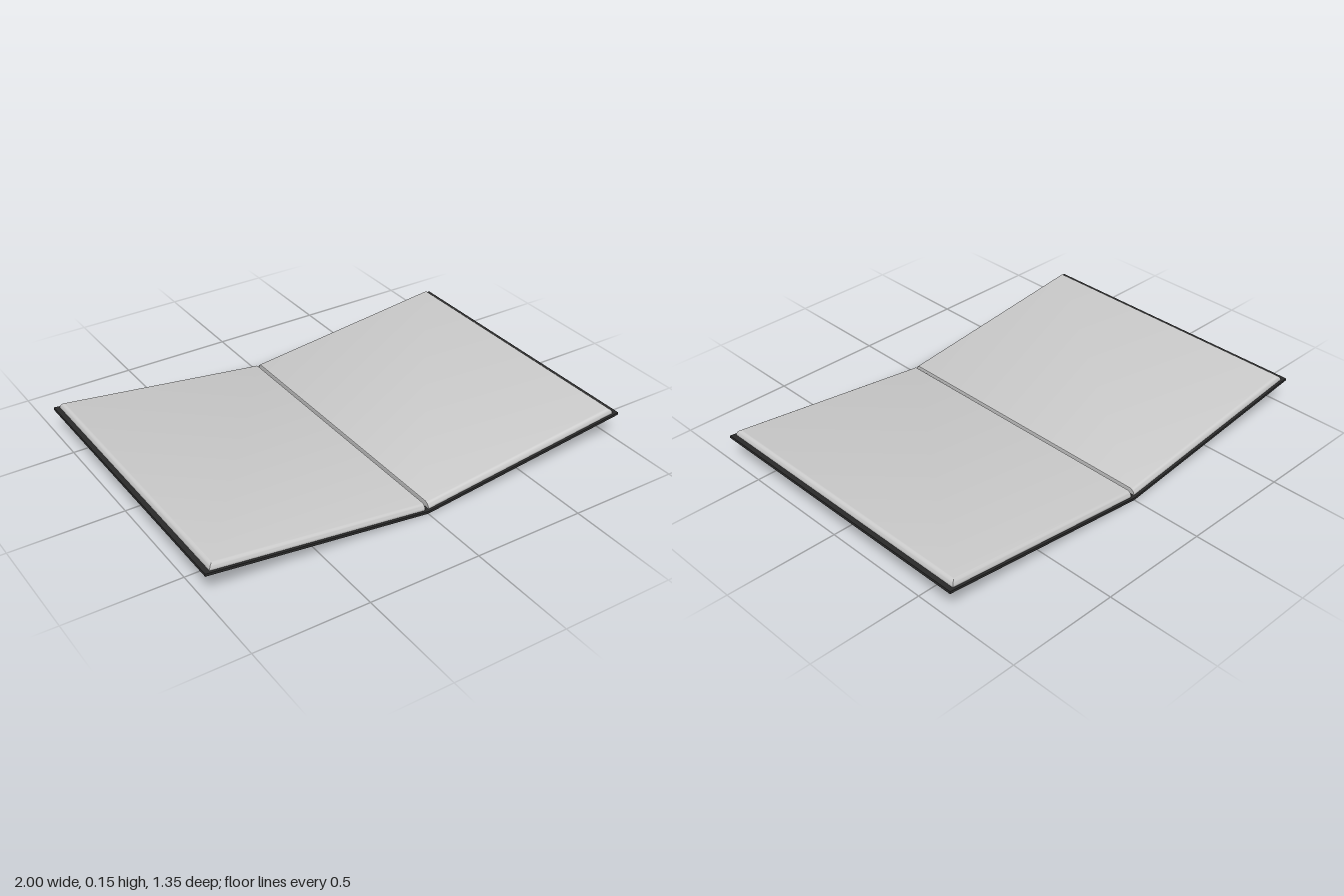
import * as THREE from 'three';
import { toCreasedNormals } from 'three/addons/utils/BufferGeometryUtils.js';

const RISE = 0.122;          // height of the cover's outer edge over the spine
const TILT = Math.atan(RISE);
const COVER = 0.011;         // cover thickness
const DEPTH = 1.354;

// Page block: stacked rectangles whose outer edges round over towards the top
function pageBlockGeometry() {
  const x0 = 0.011, x1 = 0.984, halfZ = 0.665, base = COVER - 0.001, top = 0.038, r = 0.022, steps = 7;
  const rings = [[0, base]];
  for (let i = 0; i <= steps; i++) {
    const a = (i / steps) * Math.PI / 2;
    rings.push([r * (1 - Math.cos(a)), top - r + r * Math.sin(a)]);
  }
  const pos = [], idx = [];
  for (const [inset, y] of rings) {
    const a = x0 + inset * 0.1, b = x1 - inset, z = halfZ - inset;
    pos.push(a, y, z, b, y, z, b, y, -z, a, y, -z);
  }
  for (let k = 0; k < rings.length - 1; k++) {
    for (let j = 0; j < 4; j++) {
      const p = k * 4 + j, q = k * 4 + (j + 1) % 4;
      idx.push(p, q, q + 4, p, q + 4, p + 4);
    }
  }
  const t = (rings.length - 1) * 4;
  idx.push(t, t + 1, t + 2, t, t + 2, t + 3, 0, 2, 1, 0, 3, 2);
  const geometry = new THREE.BufferGeometry();
  geometry.setAttribute('position', new THREE.Float32BufferAttribute(pos, 3));
  geometry.setIndex(idx);
  return toCreasedNormals(geometry, Math.PI / 6);
}

export function createModel() {
  const group = new THREE.Group();
  const coverMaterial = new THREE.MeshStandardMaterial({ color: 0x2b2b2b });
  const pageMaterial = new THREE.MeshStandardMaterial({ color: 0xcccccc });

  // Cover: a shallow V folded along the spine
  const section = new THREE.Shape([
    [0, 0], [1, RISE], [0.999, RISE + COVER], [0, COVER], [-0.999, RISE + COVER], [-1, RISE],
  ].map(([x, y]) => new THREE.Vector2(x, y)));
  const coverGeometry = new THREE.ExtrudeGeometry(section, { depth: DEPTH, bevelEnabled: false });
  coverGeometry.translate(0, 0, -DEPTH / 2);
  const cover = new THREE.Mesh(coverGeometry, coverMaterial);
  cover.name = 'cover';
  group.add(cover);

  // Two page blocks lying on the tilted halves of the cover
  const pages = pageBlockGeometry();
  for (const [name, turn] of [['leftPages', 0], ['rightPages', Math.PI]]) {
    const half = new THREE.Group();
    half.name = name;
    half.rotation.y = turn;
    const block = new THREE.Mesh(pages, pageMaterial);
    block.name = 'pageBlock';
    block.rotation.z = TILT;
    half.add(block);
    group.add(half);
  }
  return group;
}
